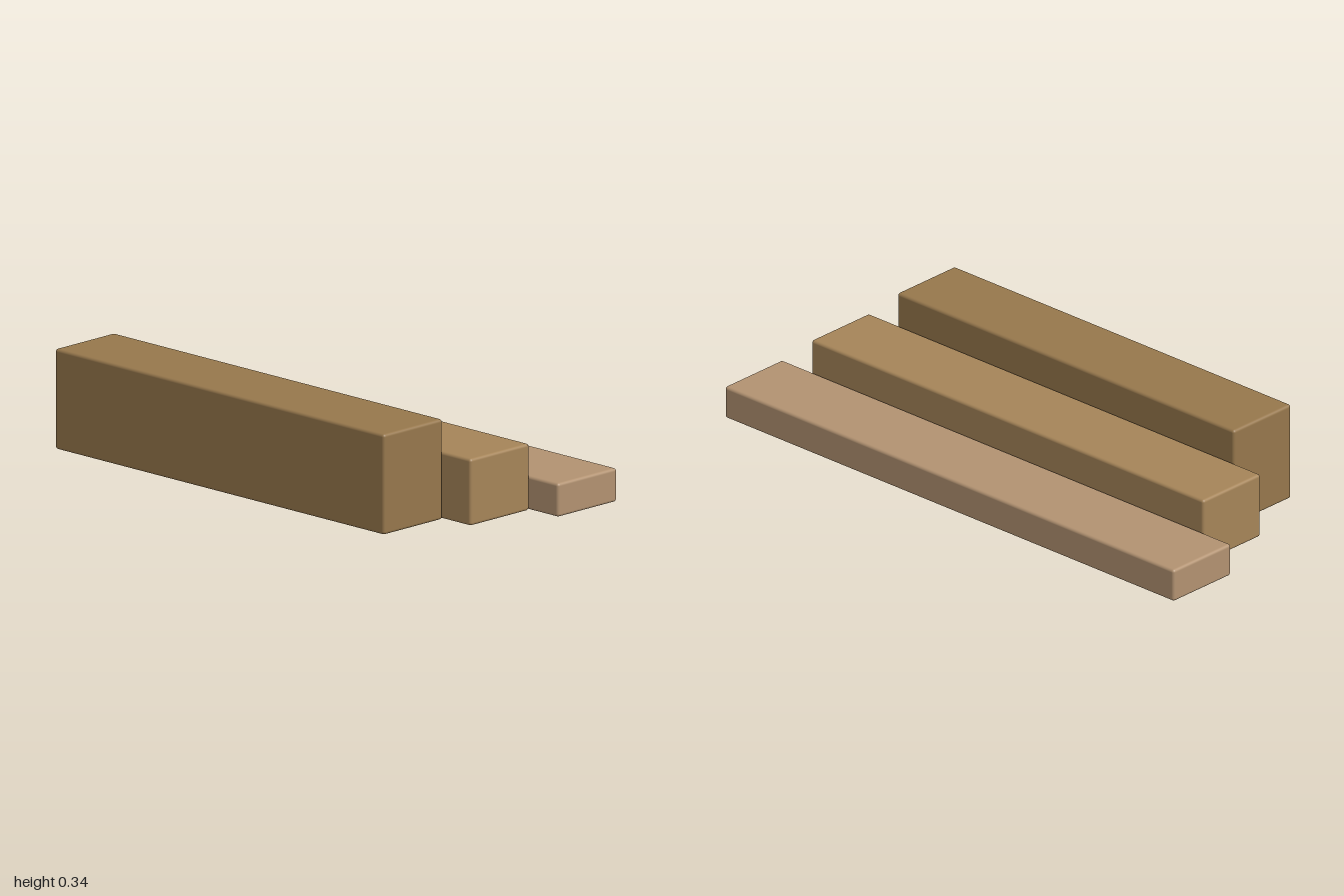
import * as THREE from 'three';
import { RoundedBoxGeometry } from 'three/addons/geometries/RoundedBoxGeometry.js';

// Three stepped blocks, tallest and shortest in length at the front
const STEPS = [
  { name: 'topStep', width: 1.5, height: 0.338, z: 0.276, color: 0x96774c },
  { name: 'middleStep', width: 1.746, height: 0.225, z: 0, color: 0xa58458 },
  { name: 'bottomStep', width: 2, height: 0.113, z: -0.276, color: 0xb29271 },
];
const DEPTH = 0.273;
const EDGE = 0.01;

export function createModel() {
  const model = new THREE.Group();
  model.name = 'steps';
  for (const { name, width, height, z, color } of STEPS) {
    const step = new THREE.Mesh(
      new RoundedBoxGeometry(width, height, DEPTH, 3, EDGE),
      new THREE.MeshStandardMaterial({ color })
    );
    step.name = name;
    step.position.set(0, height / 2, z);
    model.add(step);
  }
  return model;
}
